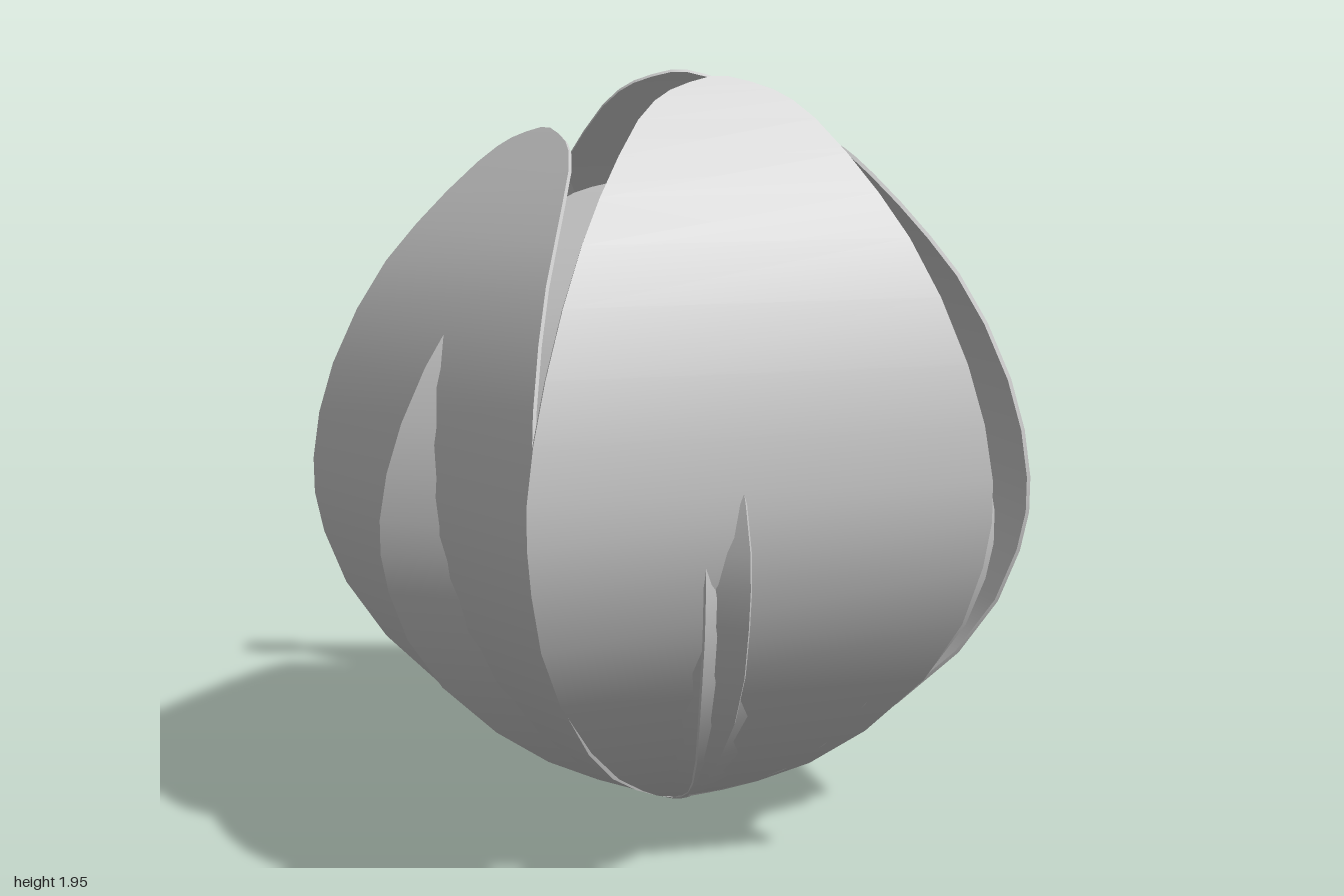
import * as THREE from 'three';
import { toCreasedNormals } from 'three/addons/utils/BufferGeometryUtils.js';

const material = new THREE.MeshStandardMaterial({ color: 0xcccccc, side: THREE.DoubleSide });

// Petal outline from base to tip: [half width, height, distance from the axis]
const outline = [
  [0.03, 0.01, 0.03], [0.13, 0.1, 0.22], [0.29, 0.27, 0.47], [0.45, 0.55, 0.70],
  [0.505, 0.8, 0.79], [0.51, 0.97, 0.80], [0.465, 1.2, 0.765], [0.375, 1.45, 0.67],
  [0.28, 1.62, 0.56], [0.18, 1.75, 0.46], [0.11, 1.795, 0.425], [0.02, 1.82, 0.405],
];

// Thin petal: straight across its width, bowed from base to tip
function petalGeometry(rows = 20, thickness = 0.01) {
  const curve = new THREE.CatmullRomCurve3(outline.map((p) => new THREE.Vector3(...p)));
  const positions = [], index = [];
  for (let i = 0; i <= rows; i++) {
    const p = curve.getPoint(i / rows), t = curve.getTangent(i / rows);
    const len = Math.hypot(t.y, t.z) || 1;
    const y = p.y + (t.z / len) * thickness, z = p.z - (t.y / len) * thickness;
    positions.push(-p.x, p.y, p.z, p.x, p.y, p.z, p.x, y, z, -p.x, y, z);
    if (i === rows) break;
    for (let k = 0; k < 4; k++) {
      const a = i * 4 + k, b = i * 4 + ((k + 1) % 4);
      index.push(a, b, b + 4, a, b + 4, a + 4);
    }
  }
  // Close the base and the tip
  const e = rows * 4;
  index.push(0, 2, 1, 0, 3, 2, e, e + 1, e + 2, e, e + 2, e + 3);
  const geometry = new THREE.BufferGeometry();
  geometry.setAttribute('position', new THREE.Float32BufferAttribute(positions, 3));
  geometry.setIndex(index);
  return toCreasedNormals(geometry, 0.8);
}

// [turn about the axis in degrees, size]
const outerPetals = [[0, 1], [66, 1.07], [159.5, 0.98], [-128.6, 1.07], [-67, 0.92]];
const innerPetals = [[30.7, 0.93], [89.4, 0.9], [125, 0.925], [196, 0.87], [-103, 0.9], [-36, 0.87]];

export function createModel() {
  const flower = new THREE.Group();
  flower.name = 'flower';
  const geometry = petalGeometry();

  const addRing = (name, petals) => petals.forEach(([turn, size], i) => {
    const petal = new THREE.Mesh(geometry, material);
    petal.name = name + (i + 1);
    petal.rotation.y = THREE.MathUtils.degToRad(turn);
    petal.scale.setScalar(size);
    flower.add(petal);
  });
  addRing('outerPetal', outerPetals);
  addRing('innerPetal', innerPetals);

  // Small rounded heart at the base
  const heart = new THREE.Mesh(new THREE.SphereGeometry(0.065, 24, 16), material);
  heart.name = 'flowerHeart';
  heart.scale.y = 0.5;
  heart.position.y = 0.0325;
  flower.add(heart);

  flower.position.z = 0.03;
  const model = new THREE.Group();
  model.name = 'flowerBud';
  model.add(flower);
  return model;
}
